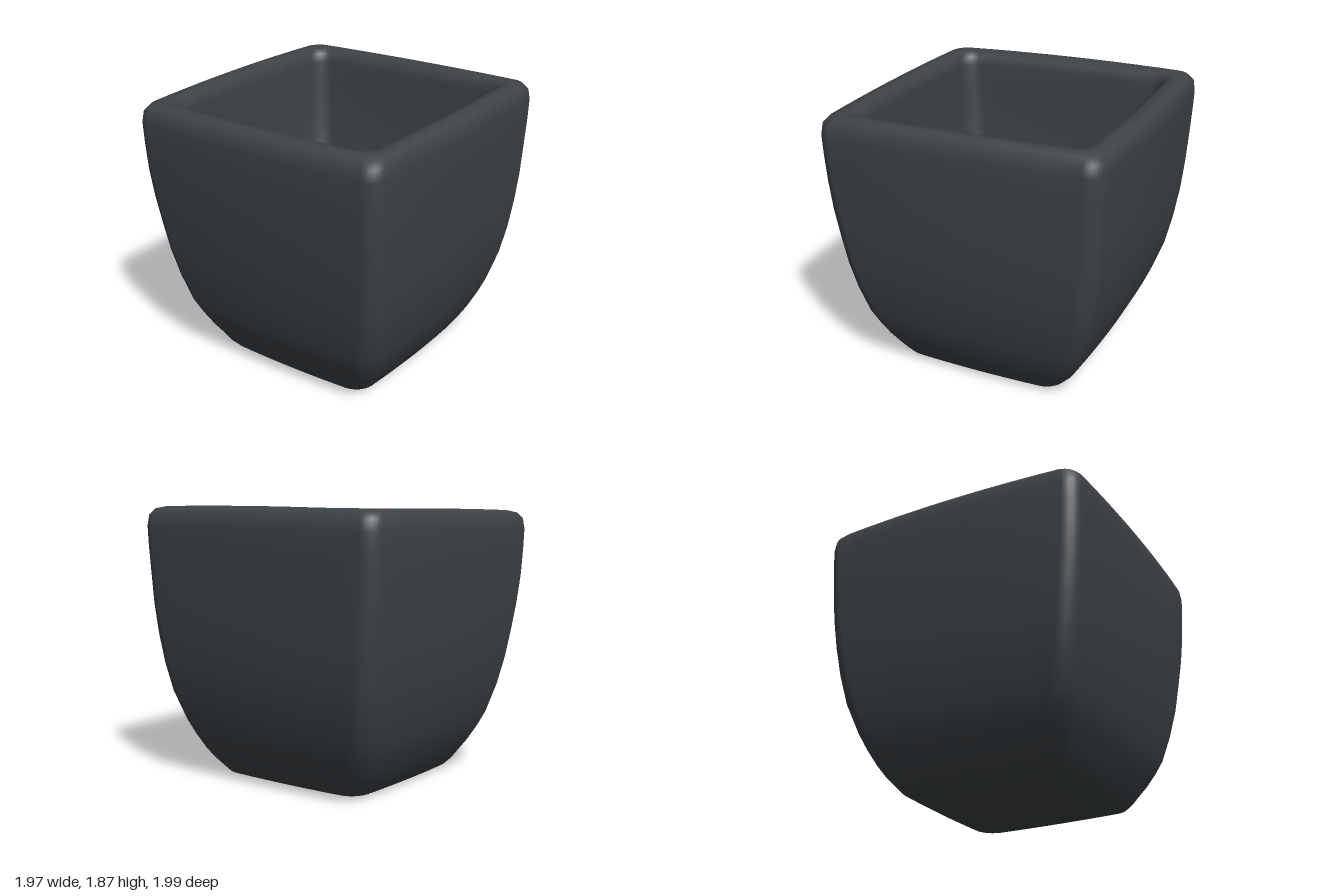
import * as THREE from 'three';

// Rounded square cross-section with gently bowed sides, as [x, z] points
function section(half, radius) {
  const pts = [];
  const flat = half - radius;
  const quarter = [];
  for (let i = 0; i < 10; i++) quarter.push([half, flat * (-1 + i / 5)]);
  for (let i = 0; i < 6; i++) {
    const a = (i / 6) * Math.PI / 2;
    quarter.push([flat + radius * Math.cos(a), flat + radius * Math.sin(a)]);
  }
  for (let k = 0; k < 4; k++) {
    for (const [u, v] of quarter) {
      const [x, z] = [[u, v], [-v, u], [-u, -v], [v, -u]][k];
      const bow = (w) => 1 - 0.033 * (half ? (w / half) ** 2 : 0);
      pts.push([x * bow(z), z * bow(x)]);
    }
  }
  return pts;
}

// Skin a list of [half width, height, corner radius, x shift, z shift] rings
function loft(rings) {
  const pos = [], index = [];
  let n = 0;
  for (const [half, y, radius, dx = 0, dz = 0] of rings) {
    const pts = section(half, radius);
    n = pts.length;
    for (const [x, z] of pts) {
      // the rim rises slightly towards the back, levelling off
      const dip = (0.021 * z + 0.01 * z * z) * (y / 1.85);
      pos.push(x + dx, y - dip, z * 1.013 + dz);
    }
  }
  for (let i = 0; i < rings.length - 1; i++) {
    for (let j = 0; j < n; j++) {
      const a = i * n + j, b = i * n + (j + 1) % n;
      index.push(a, a + n, b, b, a + n, b + n);
    }
  }
  const geo = new THREE.BufferGeometry();
  geo.setAttribute('position', new THREE.Float32BufferAttribute(pos, 3));
  geo.setIndex(index);
  geo.computeVertexNormals();
  return geo;
}

export function createModel() {
  const charcoal = new THREE.MeshStandardMaterial({ color: 0x3e4347 });
  charcoal.name = 'charcoal';

  // Base and outer wall, with the foot set slightly off centre
  const outside = [
    [0, 0, 0, 0.03, 0.01], [0.3, 0, 0.06, 0.03, 0.01], [0.54, 0.003, 0.11, 0.03, 0.01],
    [0.595, 0.02, 0.12, 0.025, 0.01], [0.632, 0.065, 0.12, 0.02, 0.01],
    [0.675, 0.13, 0.12, 0.02], [0.718, 0.2, 0.12, 0.018], [0.768, 0.3, 0.12, 0.016],
    [0.808, 0.4, 0.11, 0.014], [0.867, 0.6, 0.11, 0.012, -0.01], [0.907, 0.8, 0.11, 0.01, -0.01],
    [0.935, 1.0, 0.11, 0.007, -0.01], [0.955, 1.2, 0.1, 0.004, -0.005],
    [0.97, 1.4, 0.1], [0.98, 1.6, 0.1], [0.984, 1.73, 0.1],
  ];
  // Rolled rim
  const rim = [
    [0.974, 1.805, 0.1], [0.942, 1.845, 0.1], [0.89, 1.859, 0.1],
    [0.84, 1.85, 0.1], [0.805, 1.82, 0.1],
  ];
  // Inner wall and floor, drifting off centre towards the bottom
  const inside = [
    [0.792, 1.76, 0.1], [0.785, 1.6, 0.11], [0.765, 1.3, 0.12, -0.005, 0.005],
    [0.725, 1.0, 0.13, -0.01, 0.01], [0.655, 0.7, 0.14, -0.02, 0.02],
    [0.55, 0.45, 0.14, -0.03, 0.03], [0.45, 0.29, 0.14, -0.035, 0.04],
    [0.37, 0.22, 0.14, -0.035, 0.045], [0.26, 0.195, 0.1, -0.035, 0.045],
    [0, 0.19, 0, -0.035, 0.045],
  ];

  const planter = new THREE.Mesh(loft([...outside, ...rim, ...inside]), charcoal);
  planter.name = 'planterPot';

  const group = new THREE.Group();
  group.name = 'squarePlanter';
  group.add(planter);
  return group;
}
